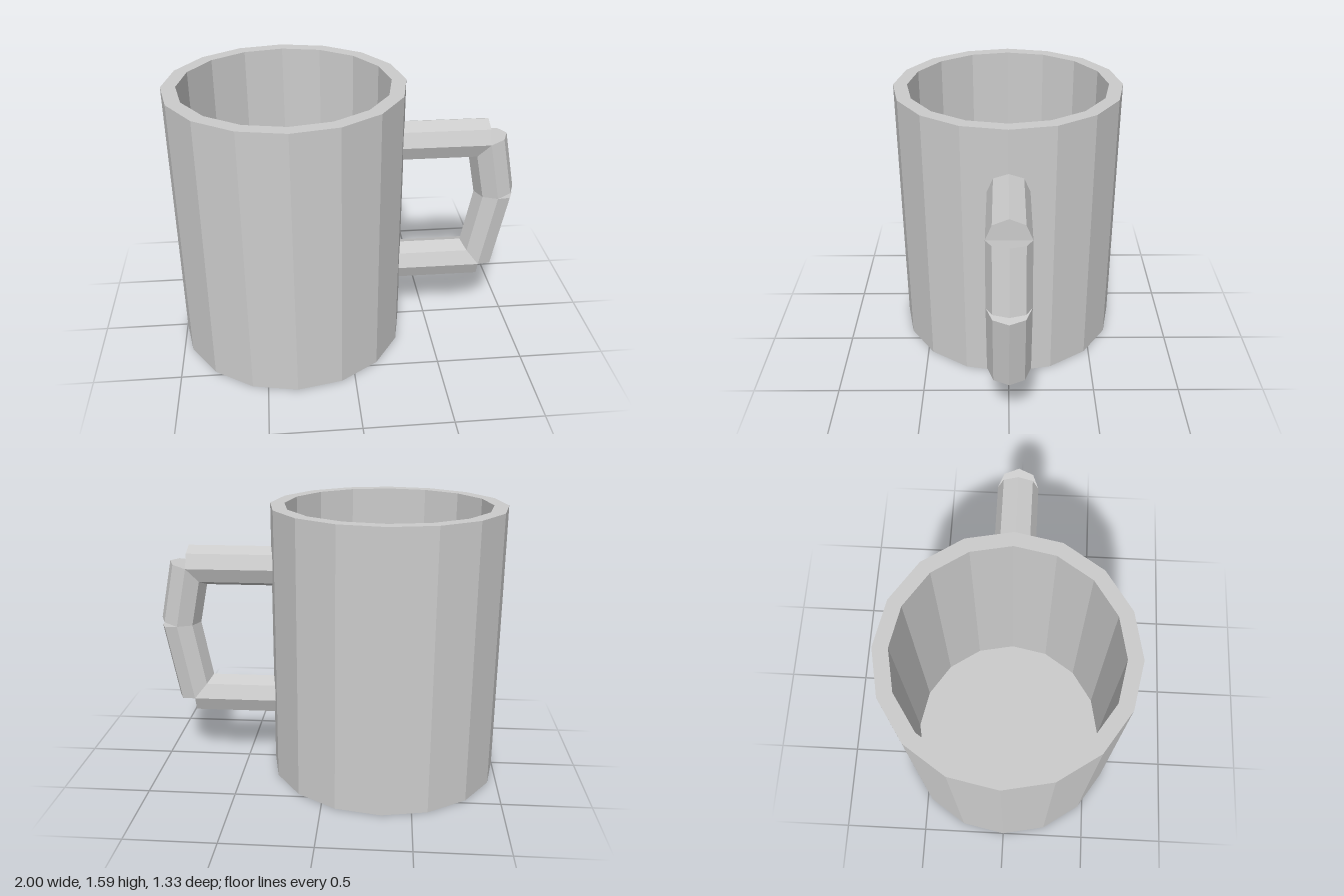
import * as THREE from 'three';

const material = new THREE.MeshStandardMaterial({ color: 0xcccccc, flatShading: true });

const SIDES = 16;
const CENTER_X = -0.333;
const OUTER = 0.667;
const INNER = 0.586;
const HEIGHT = 1.585;
const FLOOR = 0.08;
const BAR_RADIUS = 0.117;

// Eight-sided capped bar between two points in the z = 0 plane
function bar(name, [ax, ay], [bx, by]) {
  const a = new THREE.Vector3(ax, ay, 0);
  const b = new THREE.Vector3(bx, by, 0);
  const mesh = new THREE.Mesh(
    new THREE.CylinderGeometry(BAR_RADIUS, BAR_RADIUS, a.distanceTo(b), 8), material);
  mesh.name = name;
  mesh.position.addVectors(a, b).multiplyScalar(0.5);
  mesh.rotation.z = Math.atan2(by - ay, bx - ax) - Math.PI / 2;
  return mesh;
}

export function createModel() {
  const mug = new THREE.Group();
  mug.name = 'mug';

  // Hollow cup: underside, outer wall, rim, inner wall and floor
  const profile = [
    [0, 0], [OUTER, 0], [OUTER, HEIGHT], [INNER, HEIGHT], [INNER, FLOOR], [0, FLOOR],
  ].map(([r, y]) => new THREE.Vector2(r, y));
  const cup = new THREE.Mesh(new THREE.LatheGeometry(profile, SIDES), material);
  cup.name = 'cup';
  cup.position.x = CENTER_X;
  mug.add(cup);

  // Handle: four straight bars meeting at the bends, roots sunk into the wall
  const path = [[0.28, 1.218], [0.815, 1.218], [0.884, 0.87], [0.8, 0.42], [0.28, 0.42]];
  const names = ['upperArm', 'upperGrip', 'lowerGrip', 'lowerArm'];
  const handle = new THREE.Group();
  handle.name = 'handle';
  names.forEach((name, i) => handle.add(bar(name, path[i], path[i + 1])));
  mug.add(handle);

  return mug;
}
